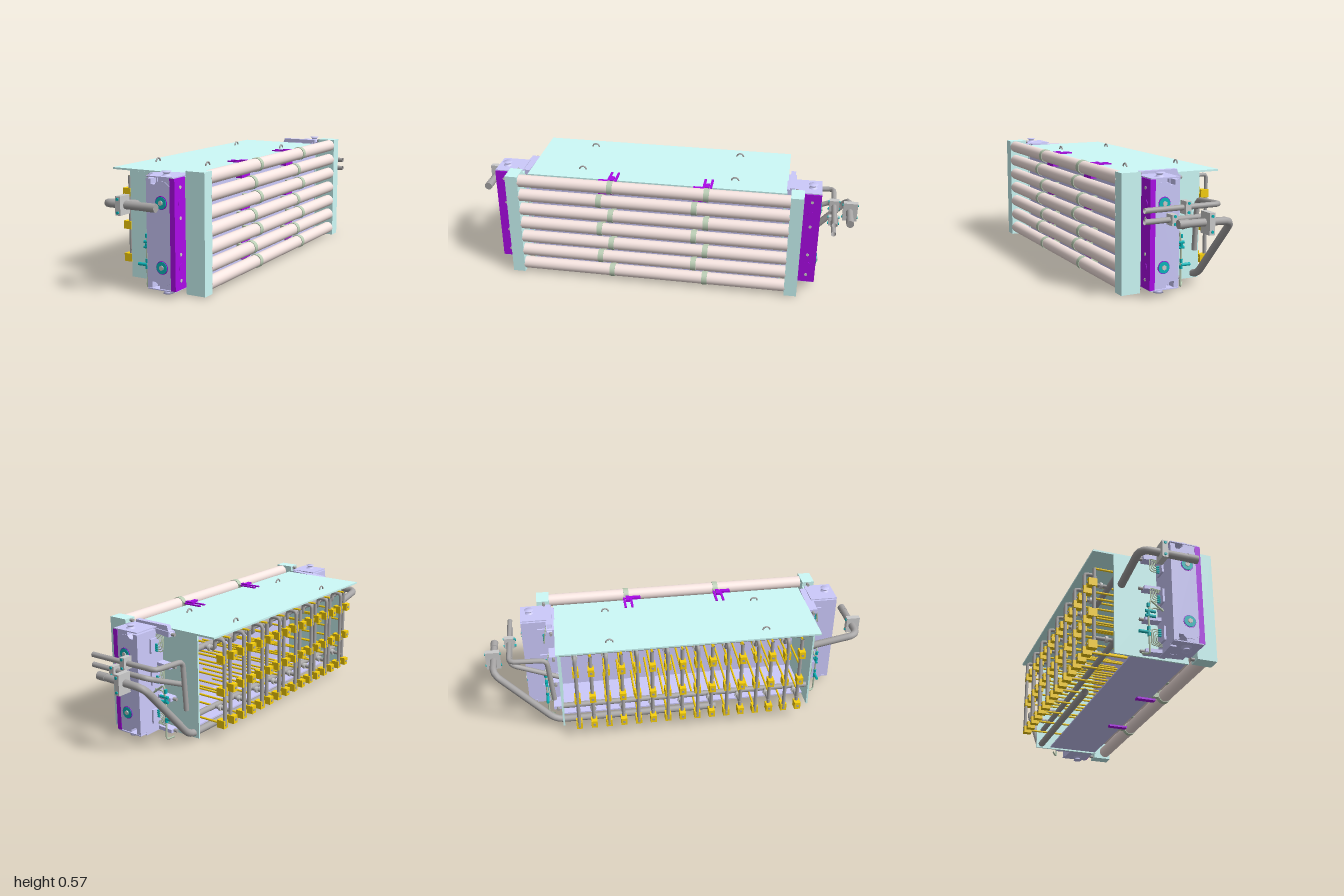
import * as THREE from 'three';

const mat = (color) => new THREE.MeshStandardMaterial({ color, side: THREE.DoubleSide });
const TEAL = mat(0xcdfaf8), ROSE = mat(0xf8e6e2), LAVENDER = mat(0xcccafc), PURPLE = mat(0xac0ae8);
const YELLOW = mat(0xf8d00c), GREY = mat(0xa8a6a6), FITTING = mat(0x08b8bc), GREEN = mat(0xbccfb6), STEEL = mat(0xcccccc);

const MID = 0.0425; // the two end assemblies mirror about this z

export function createModel() {
  const root = new THREE.Group();
  const add = (parent, name, geo, m) => {
    const mesh = new THREE.Mesh(geo, m);
    mesh.name = name;
    parent.add(mesh);
    return mesh;
  };
  const group = (name) => {
    const g = new THREE.Group();
    g.name = name;
    root.add(g);
    return g;
  };
  // Box from its lower and upper bounds on each axis
  const box = (p, name, m, x0, x1, y0, y1, z0, z1) => {
    const b = add(p, name, new THREE.BoxGeometry(x1 - x0, y1 - y0, Math.abs(z1 - z0)), m);
    b.position.set((x0 + x1) / 2, (y0 + y1) / 2, (z0 + z1) / 2);
    return b;
  };
  // Cylinder along an axis, centred on a point
  const rod = (p, name, m, axis, r, len, x, y, z, sides = 16) => {
    const c = add(p, name, new THREE.CylinderGeometry(r, r, len, sides), m);
    if (axis === 'x') c.rotation.z = Math.PI / 2;
    if (axis === 'z') c.rotation.x = Math.PI / 2;
    c.position.set(x, y, z);
    return c;
  };
  // Pipe through points with rounded corners
  const pipe = (p, name, m, r, bend, pts, segs = 48, sides = 12) => {
    const v = pts.map((q) => new THREE.Vector3(...q));
    const path = new THREE.CurvePath();
    let from = v[0];
    for (let i = 1; i < v.length - 1; i++) {
      const a = v[i].clone().add(v[i - 1].clone().sub(v[i]).setLength(bend));
      const b = v[i].clone().add(v[i + 1].clone().sub(v[i]).setLength(bend));
      path.add(new THREE.LineCurve3(from, a));
      path.add(new THREE.QuadraticBezierCurve3(a, v[i], b));
      from = b;
    }
    path.add(new THREE.LineCurve3(from, v[v.length - 1]));
    return add(p, name, new THREE.TubeGeometry(path, segs, r, sides), m);
  };
  // Flat outline in x and y, thickened along z
  const slice = (p, name, m, pts, depth, z) => {
    const shape = new THREE.Shape(pts.map((q) => new THREE.Vector2(...q)));
    add(p, name, new THREE.ExtrudeGeometry(shape, { depth, bevelEnabled: false }), m).position.z = z;
  };

  // Housing, open at its valve side
  const housing = group('housing');
  box(housing, 'roof', TEAL, -0.287, 0.18, 0.54, 0.549, -0.63, 0.71);
  box(housing, 'floor', LAVENDER, -0.1, 0.175, 0.03, 0.038, -0.62, 0.70);
  box(housing, 'nozzleWall', LAVENDER, 0.165, 0.175, 0.03, 0.54, -0.62, 0.70);
  for (const x of [-0.21, 0.08]) for (const z of [-0.36, 0.44]) {
    const h = add(housing, 'roofHandle', new THREE.TorusGeometry(0.018, 0.004, 8, 16, Math.PI), GREY);
    h.rotation.y = Math.PI / 2;
    h.position.set(x, 0.548, z);
  }

  // Long tubes with clamps staggered from row to row
  const bank = group('tubeBank');
  for (let i = 0; i < 7; i++) {
    const y = 0.052 + i * 0.0817;
    rod(bank, 'longTube', ROSE, 'z', 0.032, 1.39, 0.25, y, MID, 28);
    for (const z0 of [0.255, -0.235]) {
      const z = z0 + (i % 2) * 0.06;
      rod(bank, 'clampBand', GREEN, 'z', 0.035, 0.028, 0.25, y, z, 28);
      box(bank, 'clampFoot', GREEN, 0.175, 0.222, y - 0.012, y + 0.012, z - 0.012, z + 0.012);
    }
  }
  for (const z of [0.25, -0.24]) {
    for (const dz of [-0.008, 0.028]) box(bank, 'bracketTab', PURPLE, 0.1, 0.2, 0.549, 0.555, z + dz - 0.006, z + dz + 0.006);
    box(bank, 'bracketRib', PURPLE, 0.16, 0.205, 0.549, 0.562, z, z + 0.02);
    box(bank, 'bracketEnd', PURPLE, 0.188, 0.21, 0.53, 0.555, z, z + 0.08);
    for (const y of [0.09, 0.175, 0.34, 0.5])
      box(bank, 'bracketPlate', PURPLE, 0.175, 0.21, y - 0.02, y + 0.02, z, z + 0.08);
  }
  for (const z of [0.25, -0.16]) box(bank, 'lowerBracket', PURPLE, 0.1, 0.2, 0.02, 0.03, z - 0.015, z + 0.015);

  // Valve columns: rods run through the housing and end between the tubes
  const ys = [0.091, 0.173, 0.255, 0.337, 0.419, 0.501];
  for (let k = 0; k < 8; k++) {
    const z = -0.54 + k * 0.155, zi = z + 0.0775, col = group('valveColumn');
    pipe(col, 'outerRiser', GREY, 0.0095, 0.016,
      [[-0.277, 0.08, z], [-0.277, 0.511, z], [-0.222, 0.511, z], [-0.222, 0.46, z], [-0.15, 0.46, z]]);
    pipe(col, 'innerRiser', GREY, 0.0095, 0.01, [[-0.252, 0.5, zi], [-0.252, 0.13, zi], [-0.15, 0.13, zi]]);
    rod(col, 'innerRiserFoot', GREY, 'y', 0.0095, 0.06, -0.252, 0.105, zi);
    rod(col, 'upperFlange', STEEL, 'x', 0.016, 0.014, -0.193, 0.46, z);
    rod(col, 'lowerFlange', STEEL, 'x', 0.016, 0.014, -0.193, 0.13, zi);
    ys.forEach((y, i) => {
      rod(col, 'nozzleRod', YELLOW, 'x', 0.0055, 0.445, -0.0275, y, i % 2 ? zi : z, 8);
      if (i % 2) return;
      for (const zv of [z, zi]) {
        box(col, 'valveBody', YELLOW, -0.284, -0.241, y - 0.02, y + 0.02, zv - 0.016, zv + 0.016);
        rod(col, 'valveCap', GREY, 'x', 0.007, 0.006, -0.284, y, zv, 10);
      }
    });
  }

  // End assemblies, one for each sign of z
  for (const s of [1, -1]) {
    const end = group(s > 0 ? 'frontEnd' : 'backEnd');
    const Z = (d) => MID + s * d;
    const slab = (name, m, x0, x1, y0, y1, d0, d1) => box(end, name, m, x0, x1, y0, y1, Z(d0), Z(d1));
    slab('endPlate', TEAL, -0.185, 0.18, 0.022, 0.54, 0.659, 0.668);
    slab('tubeCap', TEAL, 0.183, 0.281, 0.01, 0.576, 0.692, 0.757);
    slab('capFlange', TEAL, 0.15, 0.183, 0.05, 0.55, 0.692, 0.757);
    slab('purpleRail', PURPLE, 0.155, 0.181, 0.043, 0.552, 0.757, 0.843);
    for (const y of [0.51, 0.37, 0.205, 0.085]) rod(end, 'railBolt', STEEL, 'x', 0.008, 0.004, 0.181, y, Z(0.798));
    for (const y of [0.44, 0.145]) rod(end, 'railPlug', PURPLE, 'x', 0.018, 0.004, 0.181, y, Z(0.798));

    // Manifold block with notched outline and end plates
    slice(end, 'manifoldBlock', LAVENDER, [[0.055, 0.075], [0.09, 0.075], [0.095, 0.045], [0.155, 0.045], [0.155, 0.553],
      [0.095, 0.553], [0.09, 0.52], [0.055, 0.52]], 0.14, s > 0 ? Z(0.7) : Z(0.84));
    slice(end, 'manifoldFlange', LAVENDER, [[0.03, 0.045], [0.055, 0.045], [0.055, 0.075], [0.075, 0.075], [0.09, 0.06],
      [0.13, 0.06], [0.155, 0.08], [0.155, 0.515], [0.13, 0.535], [0.09, 0.535], [0.075, 0.52], [0.055, 0.52], [0.055, 0.545],
      [0.03, 0.545]], 0.043, s > 0 ? Z(0.8) : Z(0.843));
    slab('manifoldWeb', LAVENDER, 0.03, 0.06, 0.03, 0.545, 0.668, 0.8);
    slab('manifoldTop', LAVENDER, 0.03, 0.176, 0.552, 0.557, 0.7, 0.843);
    slab('manifoldBottom', LAVENDER, 0.03, 0.176, 0.038, 0.043, 0.7, 0.843);
    for (const y of [0.44, 0.145]) {
      rod(end, 'portRing', PURPLE, 'z', 0.031, 0.006, 0.11, y, Z(0.842), 28);
      rod(end, 'portDisc', FITTING, 'z', 0.028, 0.01, 0.11, y, Z(0.843), 28);
      rod(end, 'portNut', STEEL, 'z', 0.012, 0.014, 0.11, y, Z(0.846), 6);
    }
    // Spools on top and underneath
    const prof = [[0.001, 0], [0.027, 0], [0.027, 0.004], [0.014, 0.012], [0.014, 0.018], [0.024, 0.026], [0.001, 0.026]];
    for (const t of [1, -1]) {
      const sp = add(end, 'spool', new THREE.LatheGeometry(prof.map((q) => new THREE.Vector2(...q)), 20), LAVENDER);
      sp.position.set(0.11, t > 0 ? 0.55 : 0.043, Z(0.797));
      if (t < 0) sp.rotation.x = Math.PI;
      rod(end, 'capBolt', GREY, 'x', 0.008, 0.02, 0.175, t > 0 ? 0.565 : 0.022, Z(0.72));
    }
    // Sloping bracket arms: y at outer end, y at inner end, height
    for (const [y, yi, h] of [[0.517, 0.53, 0.026], [0.357, 0.37, 0.018], [0.193, 0.206, 0.018], [0.03, 0.04, 0.018]]) {
      slice(end, 'bracketArm', LAVENDER, [[-0.05, y], [0.15, yi], [0.15, yi + h], [-0.05, y + h]], 0.045,
        s > 0 ? Z(0.668) : Z(0.713));
      rod(end, 'armBolt', GREY, 'x', 0.008, 0.02, -0.06, y + 0.01, Z(0.69));
    }
    // Small hydraulic lines
    for (const [y, dir] of [[0.47, 1], [0.31, 1], [0.115, -1]]) {
      slab('portBar', LAVENDER, 0.02, 0.032, y - 0.035, y + 0.035, 0.7, 0.76);
      for (let k = 0; k < 4; k++) {
        const x = -0.026 + k * 0.008, yo = y + dir * (0.05 - k * 0.006), yi = y - dir * (0.025 - k * 0.01);
        pipe(end, 'smallLine', GREEN, 0.0028, 0.012,
          [[0.18, yo, Z(0.69)], [x, yo, Z(0.72)], [x, yi, Z(0.73)], [0.02, yi, Z(0.73)]], 28, 6);
        rod(end, 'lineFitting', FITTING, 'x', 0.005, 0.014, 0.012, yi, Z(0.73), 6);
      }
    }
    pipe(end, 'dropHose', GREEN, 0.005, 0.015, [[0.03, 0.235, Z(0.74)], [-0.035, 0.285, Z(0.74)], [-0.045, 0.2, Z(0.74)],
      [-0.042, 0.006, Z(0.74)], [-0.068, 0.02, Z(0.71)]], 40, 8);
    pipe(end, 'branchHose', GREEN, 0.004, 0.015, [[0.03, 0.25, Z(0.73)], [-0.02, 0.25, Z(0.73)], [-0.045, 0.21, Z(0.74)]], 24, 8);
    for (const y of [0.2, 0.225]) rod(end, 'hoseTee', FITTING, 'x', 0.007, 0.05, -0.035, y, Z(0.74), 6);
    for (const y of [0.255, 0.21, 0.135, 0.105]) rod(end, 'hoseNut', FITTING, 'y', 0.008, 0.018, -0.045, y, Z(0.74), 6);
    rod(end, 'hoseValve', FITTING, 'x', 0.008, 0.05, -0.068, 0.115, Z(0.74), 8);
  }
  slice(root, 'rearCover', LAVENDER, [[-0.055, 0.535], [0.16, 0.535], [0.16, 0.57], [-0.035, 0.57], [-0.042, 0.548]], 0.025, -0.665);

  // Feed pipes at the ends
  const pipes = group('feedPipes');
  pipe(pipes, 'frontPipe', GREY, 0.019, 0.05, [[-0.148, 0.382, 0.705], [-0.148, 0.43, 0.955], [0.13, 0.43, 0.955]]);
  pipe(pipes, 'rearLowerPipe', GREY, 0.018, 0.05,
    [[-0.155, 0.045, 0.2], [-0.155, 0.045, -0.66], [-0.15, 0.37, -0.955], [0.13, 0.375, -0.955]], 64);
  pipe(pipes, 'rearUpperPipe', GREY, 0.013, 0.03,
    [[-0.14, 0.17, -0.66], [-0.14, 0.42, -0.68], [-0.14, 0.43, -0.87], [0.25, 0.43, -0.87]]);
  pipe(pipes, 'rearMiddlePipe', GREY, 0.013, 0.04, [[-0.095, 0.28, -0.625], [-0.095, 0.38, -0.87], [0.25, 0.38, -0.87]]);
  rod(pipes, 'upperHeader', GREY, 'z', 0.015, 1.32, -0.15, 0.46, 0.04);
  rod(pipes, 'lowerHeader', GREY, 'z', 0.015, 1.32, -0.15, 0.13, 0.04);
  rod(pipes, 'frontCollar', GREY, 'x', 0.02, 0.05, 0.105, 0.43, 0.955);
  rod(pipes, 'rearCollar', GREY, 'x', 0.02, 0.05, 0.105, 0.375, -0.955);

  // Pipe clamps: x, y, z, half height, half depth
  for (const [x, y, z, h, d] of [[-0.045, 0.43, 0.96, 0.043, 0.035], [-0.02, 0.37, -0.958, 0.05, 0.037],
    [0.04, 0.43, -0.87, 0.03, 0.025], [0.11, 0.38, -0.87, 0.025, 0.025]]) {
    box(pipes, 'pipeClamp', STEEL, x - 0.014, x + 0.014, y - h, y + h, z - d, z + d);
    for (const t of [1, -1]) rod(pipes, 'clampBolt', FITTING, 'z', 0.007, 2 * d + 0.01, x, y + t * h * 0.7, z, 6);
  }
  return root;
}
